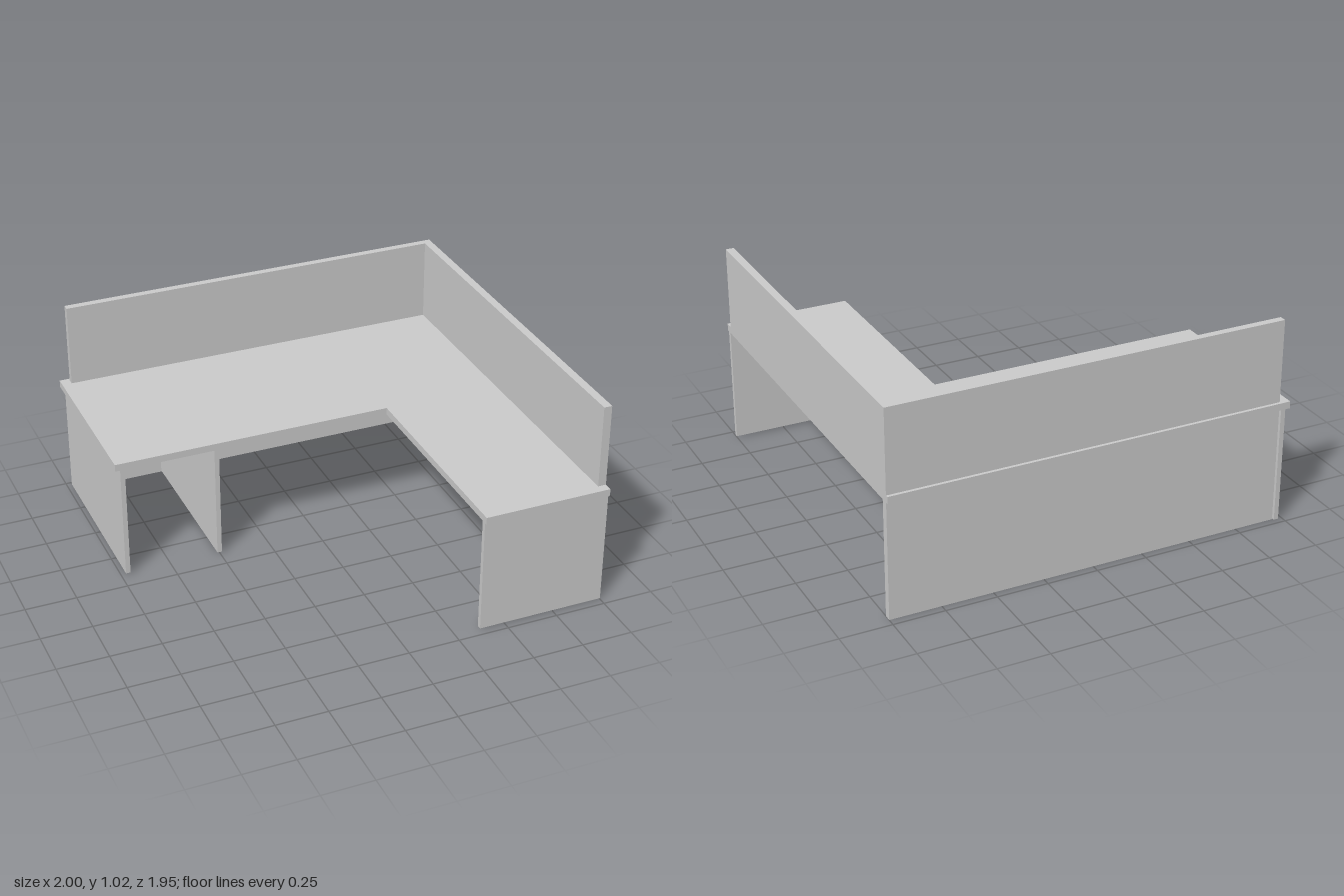
import * as THREE from 'three';

export function createModel() {
  const group = new THREE.Group();
  const material = new THREE.MeshStandardMaterial({ color: 0xcccccc });

  const add = (name, geometry) => {
    const mesh = new THREE.Mesh(geometry, material);
    mesh.name = name;
    group.add(mesh);
  };

  // Flat board given by its extents along each axis
  const board = (name, [x0, x1], [y0, y1], [z0, z1]) => {
    const g = new THREE.BoxGeometry(x1 - x0, y1 - y0, z1 - z0);
    g.translate((x0 + x1) / 2, (y0 + y1) / 2, (z0 + z1) / 2);
    add(name, g);
  };

  const under = 0.577, top = 0.612, screenTop = 1.022, foot = 0.005;
  const back = -0.975, front = 0.975, inner = -0.096;

  // L-shaped desktop, drawn in plan (shape y = -z) and laid flat
  const plan = new THREE.Shape([
    [-1, -back], [-1, -inner], [0.375, -inner],
    [0.375, -front], [1, -front], [1, -back],
  ].map(([x, y]) => new THREE.Vector2(x, y)));
  const desktop = new THREE.ExtrudeGeometry(plan, { depth: top - under, bevelEnabled: false });
  desktop.rotateX(-Math.PI / 2).translate(0, under, 0);
  add('desktop', desktop);

  // Back panel below the desktop, with the privacy screens above it
  board('backPanel', [-0.953, 1], [0, under], [-0.96, -0.925]);
  board('backScreen', [-0.953, 1], [top, screenTop], [-0.96, -0.925]);
  board('sideScreen', [0.96, 1], [top, screenTop], [-0.925, 0.933]);

  // Panel legs
  board('outerLeg', [-0.976, -0.953], [foot, under], [back, inner]);
  board('innerLeg', [-0.512, -0.489], [foot, under], [-0.925, inner]);
  board('frontLeg', [0.375, 1], [foot, under], [0.938, 0.961]);

  return group;
}
